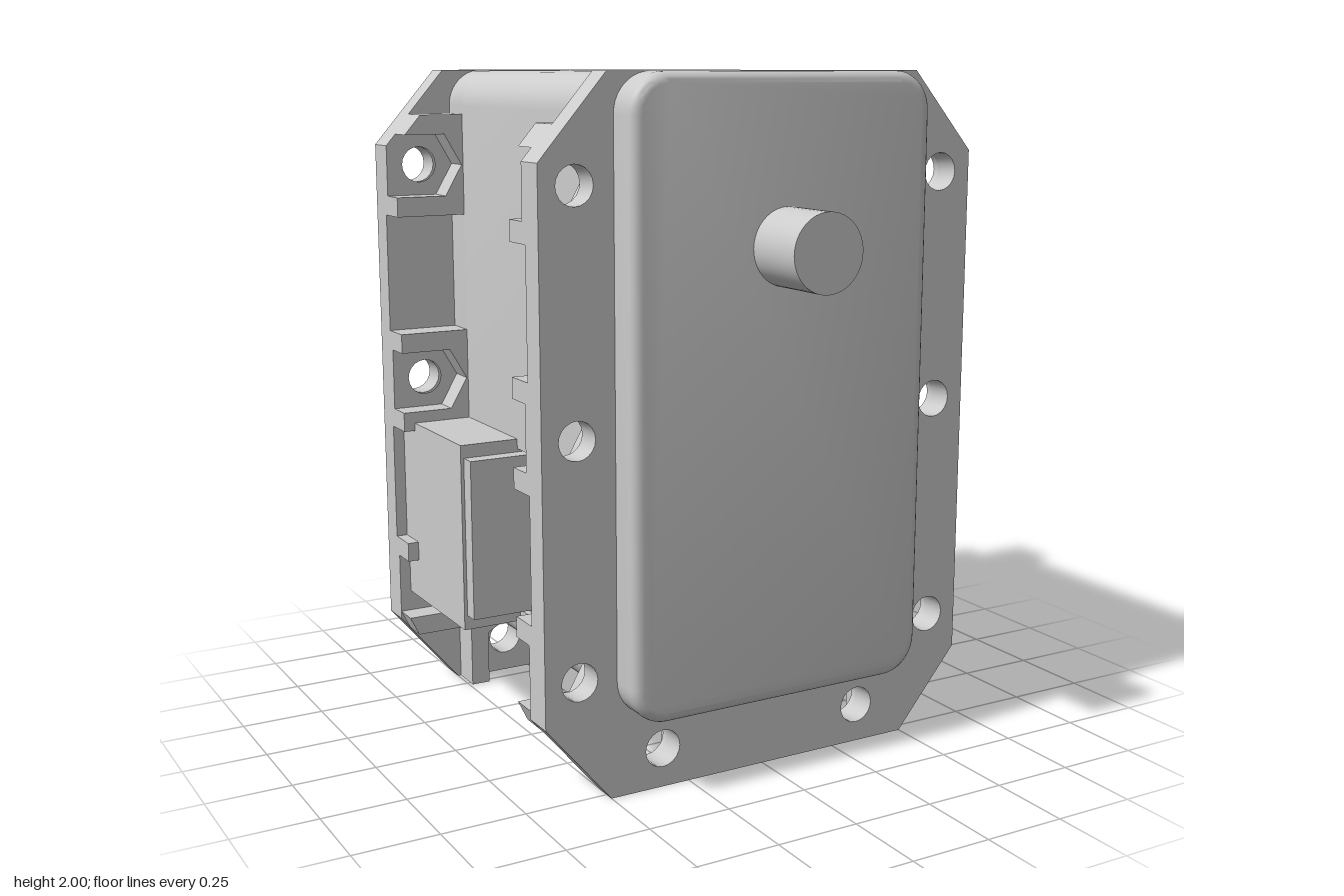
import * as THREE from 'three';
import { toCreasedNormals } from 'three/addons/utils/BufferGeometryUtils.js';

const material = new THREE.MeshStandardMaterial({ color: 0xcccccc });
const AXIS_Y = 1.53, HOLE_R = 0.055;

function add(parent, name, geometry) {
  const mesh = new THREE.Mesh(toCreasedNormals(geometry, 0.6), material);
  mesh.name = name;
  parent.add(mesh);
  return mesh;
}

// Closed outline from [x, y, cornerRadius] points
function outline(points) {
  const shape = new THREE.Shape();
  const n = points.length;
  points.forEach(([x, y, r = 0], i) => {
    const c = new THREE.Vector2(x, y);
    const toward = (p, d) => new THREE.Vector2(p[0], p[1]).sub(c).setLength(d).add(c);
    const prev = points[(i + n - 1) % n], next = points[(i + 1) % n];
    const a = toward(prev, r), b = toward(next, r);
    if (i === 0) shape.moveTo(a.x, a.y); else shape.lineTo(a.x, a.y);
    if (r > 0) {
      const h = a.clone().lerp(c, 0.5523), k = b.clone().lerp(c, 0.5523);
      shape.bezierCurveTo(h.x, h.y, k.x, k.y, b.x, b.y);
    }
  });
  shape.closePath();
  return shape;
}

const mirrored = (half) => [...half, ...half.map(([x, y, r]) => [-x, y, r]).reverse()];

function addHole(shape, x, y, r) {
  const path = new THREE.Path();
  path.absarc(x, y, r, 0, Math.PI * 2, true);
  shape.holes.push(path);
}

// Extrusion between two z values, optionally with rounded rims
function slab(shape, z0, z1, bevel = 0) {
  const geometry = new THREE.ExtrudeGeometry(shape, {
    depth: z1 - z0 - 2 * bevel, curveSegments: 10, bevelEnabled: bevel > 0,
    bevelThickness: bevel, bevelSize: bevel, bevelOffset: -bevel, bevelSegments: 5,
  });
  return geometry.translate(0, 0, z0 + bevel);
}

// Outer edge of the flange at a height
function edgeX(y) {
  return Math.min(0.7, 0.7 - (y - 1.77) * 0.2 / 0.23, 0.7 - (0.24 - y) * 0.2 / 0.24);
}

// Nut pads: hole centre plus a map from (outward, sideways) to x, y
const pads = [];
for (const s of [1, -1]) {
  for (const cy of [0.36, 1.035, 1.71]) {
    pads.push({ x: s * 0.595, y: cy, place: (u, v) => [s * (0.595 + u), cy + v],
      reach: (v) => edgeX(cy + v) - 0.595 });
  }
  pads.push({ x: s * 0.335, y: 0.115, place: (u, v) => [s * 0.335 + v, 0.115 - u], reach: () => 0.115 });
}

function padShape(pad, open) {
  const { place, reach } = pad, w = 0.155, q = 0.095;
  const middle = open
    ? [place(reach(-q), -q), place(-0.055, -q), place(-0.11, 0), place(-0.055, q), place(reach(q), q)]
    : [place(reach(-0.12), -0.12), place(reach(0.06), 0.06)];
  const shape = outline([place(-0.115, -w), place(reach(-w), -w), ...middle, place(reach(w), w), place(-0.115, w)]);
  if (!open) addHole(shape, pad.x, pad.y, HOLE_R);
  return shape;
}

// Flange plate with its nut pads; dir points to the inner side
function flange(name, outerZ, dir) {
  const group = new THREE.Group();
  group.name = name;
  const layer = (label, shape, d0, d1) => {
    const a = outerZ + dir * d0, b = outerZ + dir * d1;
    add(group, label, slab(shape, Math.min(a, b), Math.max(a, b)));
  };
  const plate = outline(mirrored([[0.5, 0], [0.7, 0.24], [0.7, 1.77], [0.5, 2]]));
  for (const pad of pads) addHole(plate, pad.x, pad.y, HOLE_R);
  layer('flangePlate', plate, 0, 0.08);
  for (const pad of pads) {
    layer('nutPadBase', padShape(pad, false), 0.08, 0.098);
    layer('nutPocket', padShape(pad, true), 0.098, 0.18);
  }
  return group;
}

export function createModel() {
  const model = new THREE.Group();
  model.name = 'gearboxHousing';

  // Main body, with a shallow side recess between the flanges
  const section = outline(mirrored([[0.48, 0.23, 0.11], [0.48, 2, 0.11]]));
  const recessed = outline(mirrored([[0.48, 0.23, 0.11], [0.48, 0.365], [0.46, 0.365],
    [0.46, 0.875], [0.48, 0.875], [0.48, 2, 0.11]]));
  add(model, 'bodyFront', slab(section, 0.35, 0.55));
  add(model, 'bodyMiddle', slab(recessed, -0.48, 0.35));
  add(model, 'bodyBack', slab(section, -0.66, -0.48));
  add(model, 'frontCover', slab(section, 0.5, 0.63, 0.03));

  model.add(flange('frontFlange', 0.53, -1), flange('backFlange', -0.66, 1));

  // Back cover with stepped corners
  const cover = outline(mirrored([[0.285, 0.23, 0.05], [0.285, 0.43, 0.07], [0.48, 0.43, 0.05],
    [0.48, 1.81, 0.05], [0.285, 1.81, 0.05], [0.285, 1.87]]));
  addHole(cover, 0, AXIS_Y, 0.25);
  add(model, 'backCover', slab(cover, -0.765, -0.6, 0.03));

  // Curved shoulder running from the back cover up to the top
  const profile = new THREE.Shape();
  profile.moveTo(0.6, 1.79);
  profile.lineTo(0.765, 1.79);
  profile.lineTo(0.765, 1.82);
  profile.quadraticCurveTo(0.76, 1.92, 0.665, 2);
  profile.lineTo(0.6, 2);
  add(model, 'backShoulder', slab(profile, -0.285, 0.285, 0.03).rotateY(Math.PI / 2));

  // Recessed ring and hollow bearing boss on the back
  const bossProfile = [[0, 0.76], [0.06, 0.76], [0.06, 0.825], [0.115, 0.825], [0.115, 0.735],
    [0.25, 0.735], [0.25, 0.765], [0.285, 0.765], [0.285, 0.68]];
  const boss = new THREE.LatheGeometry(
    bossProfile.map(([r, h]) => new THREE.Vector2(r, h)).reverse(), 64);
  add(model, 'backBoss', boss.rotateX(-Math.PI / 2).translate(0, AXIS_Y, 0));

  // Output shaft
  const shaft = new THREE.CylinderGeometry(0.11, 0.11, 0.225, 48).rotateX(Math.PI / 2);
  add(model, 'outputShaft', shaft.translate(0, AXIS_Y, 0.7125));

  // Side terminal boxes with a thinner lip
  for (const s of [1, -1]) {
    add(model, 'terminalBox', new THREE.BoxGeometry(0.215, 0.575, 0.47).translate(s * 0.5575, 0.6175, -0.345));
    add(model, 'terminalLip', new THREE.BoxGeometry(0.205, 0.49, 0.06).translate(s * 0.5525, 0.62, -0.09));
  }
  return model;
}
